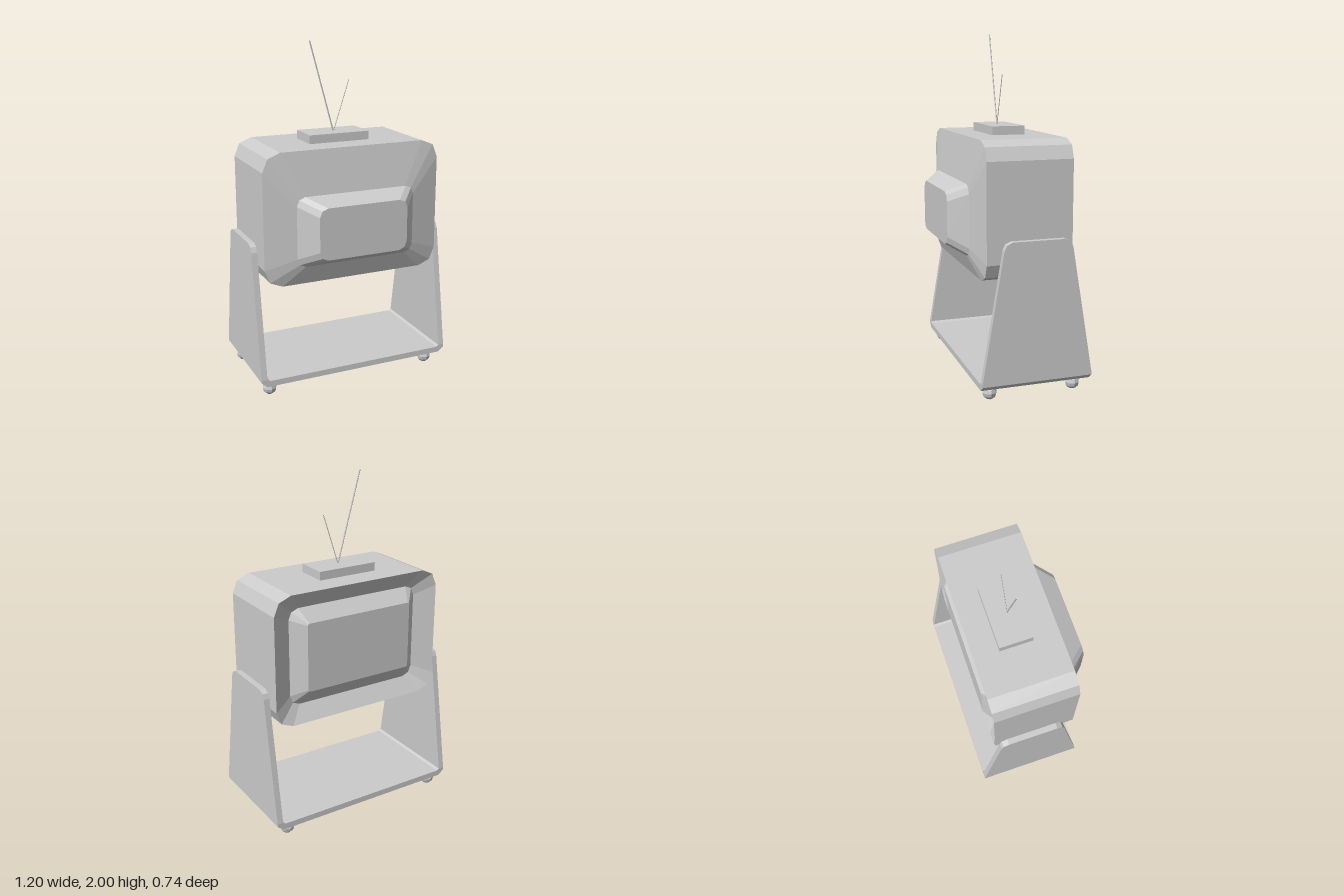
import * as THREE from 'three';

const material = new THREE.MeshStandardMaterial({ color: 0xcccccc, flatShading: true, side: THREE.DoubleSide });

function add(parent, geometry, name) {
  const mesh = new THREE.Mesh(geometry, material);
  mesh.name = name;
  parent.add(mesh);
  return mesh;
}

// Rounded rectangle at depth z, two facets per corner, counter-clockwise seen from +z
function ring(x0, x1, y0, y1, r, z) {
  const corners = [[x1 - r, y1 - r], [x0 + r, y1 - r], [x0 + r, y0 + r], [x1 - r, y0 + r]];
  const points = [];
  corners.forEach(([cx, cy], q) => {
    for (let k = 0; k < 3; k++) {
      const a = (q + k / 2) * Math.PI / 2;
      points.push(new THREE.Vector3(cx + r * Math.cos(a), cy + r * Math.sin(a), z));
    }
  });
  return points;
}

// Skin rings ordered from front to back, with optional flat caps
function loft(rings, capFront, capBack) {
  const tris = [];
  const n = rings[0].length;
  for (let s = 0; s < rings.length - 1; s++) {
    const a = rings[s], b = rings[s + 1];
    for (let i = 0; i < n; i++) {
      const j = (i + 1) % n;
      tris.push(a[i], b[i], b[j], a[i], b[j], a[j]);
    }
  }
  const first = rings[0], last = rings[rings.length - 1];
  for (let i = 1; i < n - 1; i++) {
    if (capFront) tris.push(first[0], first[i], first[i + 1]);
    if (capBack) tris.push(last[0], last[i + 1], last[i]);
  }
  const geometry = new THREE.BufferGeometry().setFromPoints(tris);
  geometry.computeVertexNormals();
  return geometry;
}

function extrude(points, depth) {
  const shape = new THREE.Shape(points.map(([x, y]) => new THREE.Vector2(x, y)));
  return new THREE.ExtrudeGeometry(shape, { depth, bevelEnabled: false });
}

// Thin rod between two points
function rod(parent, from, to, radius, name) {
  const a = new THREE.Vector3(...from), b = new THREE.Vector3(...to);
  const dir = b.clone().sub(a);
  const mesh = add(parent, new THREE.CylinderGeometry(radius, radius, dir.length(), 6), name);
  mesh.position.copy(a).add(b).multiplyScalar(0.5);
  mesh.quaternion.setFromUnitVectors(new THREE.Vector3(0, 1, 0), dir.normalize());
}

export function createModel() {
  const model = new THREE.Group();
  model.name = 'televisionOnStand';

  // Cabinet: tube housing at +z, funnel-shaped screen frame at -z
  const frameInner = ring(-0.43, 0.415, 0.755, 1.33, 0.06, -0.21);
  add(model, loft([
    ring(-0.275, 0.265, 0.83, 1.13, 0.05, 0.37),
    ring(-0.37, 0.355, 0.775, 1.18, 0.05, 0.27),
    ring(-0.55, 0.535, 0.66, 1.43, 0.105, 0.225),
    ring(-0.55, 0.535, 0.66, 1.43, 0.105, -0.27),
    frameInner,
  ], true, false), 'cabinet');

  // Raised screen with bevelled edges
  add(model, loft([frameInner, ring(-0.35, 0.335, 0.85, 1.255, 0.012, -0.28)], false, true), 'screen');

  // Antenna
  const antenna = new THREE.Group();
  antenna.name = 'antenna';
  model.add(antenna);
  add(antenna, new THREE.BoxGeometry(0.37, 0.05, 0.195), 'antennaBase').position.set(-0.025, 1.455, -0.025);
  rod(antenna, [-0.025, 1.475, -0.016], [-0.17, 2, -0.016], 0.004, 'longRod');
  rod(antenna, [-0.025, 1.475, -0.016], [0.072, 1.77, -0.016], 0.0025, 'shortRod');

  // Stand: floor plate with chamfered corners, and two tapered side panels
  const stand = new THREE.Group();
  stand.name = 'stand';
  model.add(stand);
  const floor = extrude([
    [-0.6, 0.125], [-0.6, 0.11], [-0.565, 0.08], [0.565, 0.08], [0.6, 0.11], [0.6, 0.125],
    [0.565, 0.125], [0.55, 0.115], [-0.55, 0.115], [-0.565, 0.125],
  ], 0.64);
  add(stand, floor, 'floorPlate').position.z = -0.37;

  const panel = extrude([
    [-0.27, 0.125], [0.37, 0.125], [0.247, 0.855], [0.235, 0.885], [0.2, 0.9],
    [-0.1, 0.9], [-0.133, 0.885], [-0.147, 0.855],
  ], 0.035);
  panel.rotateY(Math.PI / 2);
  add(stand, panel, 'leftPanel').position.x = 0.565;
  add(stand, panel, 'rightPanel').position.x = -0.6;

  // Ball feet
  for (const x of [-0.53, 0.5]) {
    for (const z of [0.2, -0.295]) {
      add(stand, new THREE.SphereGeometry(0.042, 8, 6), 'ballFoot').position.set(x, 0.042, z);
    }
  }
  return model;
}
